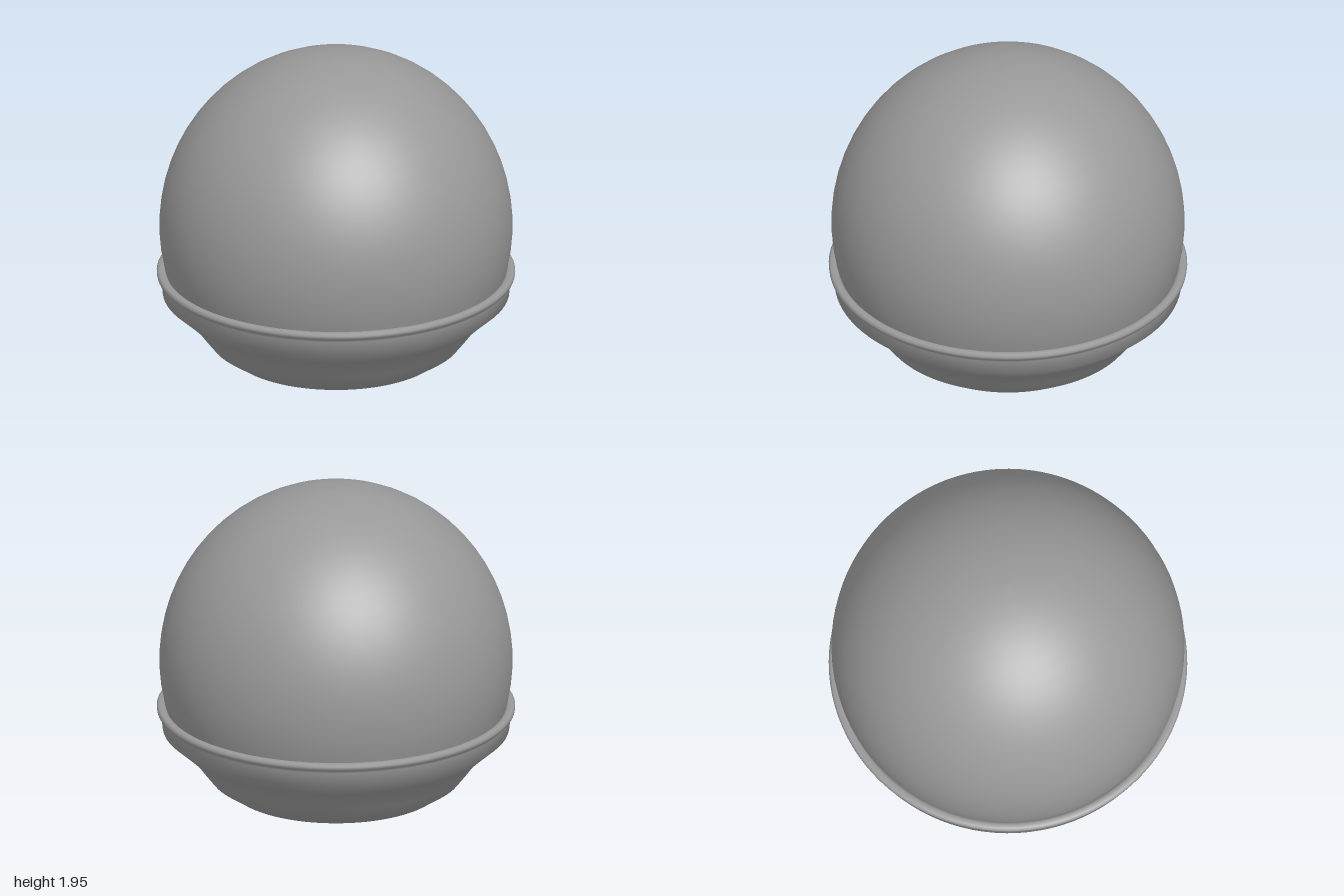
import * as THREE from 'three';

const SEGMENTS = 96;

function turned(name, points) {
  const material = new THREE.MeshStandardMaterial({ color: 0x999999 });
  const mesh = new THREE.Mesh(new THREE.LatheGeometry(points, SEGMENTS), material);
  mesh.name = name;
  return mesh;
}

export function createModel() {
  const group = new THREE.Group();
  group.name = 'domedCapsule';

  // Bowl with a stepped, ogee-shaped underside, ending in a lip that folds inward to the dome
  const bowl = [
    [0, 0], [0.1, 0.015], [0.28, 0.066], [0.45, 0.13], [0.59, 0.182], [0.7, 0.255],
    [0.755, 0.325], [0.805, 0.393], [0.88, 0.464], [0.967, 0.54], [0.976, 0.623],
    [0.985, 0.64], [0.998, 0.65], [1, 0.666], [0.99, 0.679],
    [0.965, 0.681], [0.95, 0.672], [0.935, 0.645],
  ].map(([r, y]) => new THREE.Vector2(r, y));
  group.add(turned('rimmedBowl', bowl));

  // Slightly tall dome whose skirt sits inside the lip
  const dome = [];
  const start = -0.33;
  const steps = 20;
  for (let i = 0; i <= steps; i++) {
    const a = THREE.MathUtils.lerp(start, Math.PI / 2, i / steps);
    const r = i === steps ? 0 : 0.985 * Math.cos(a);
    dome.push(new THREE.Vector2(r, 0.94 + 1.01 * Math.sin(a)));
  }
  group.add(turned('dome', dome));

  return group;
}
